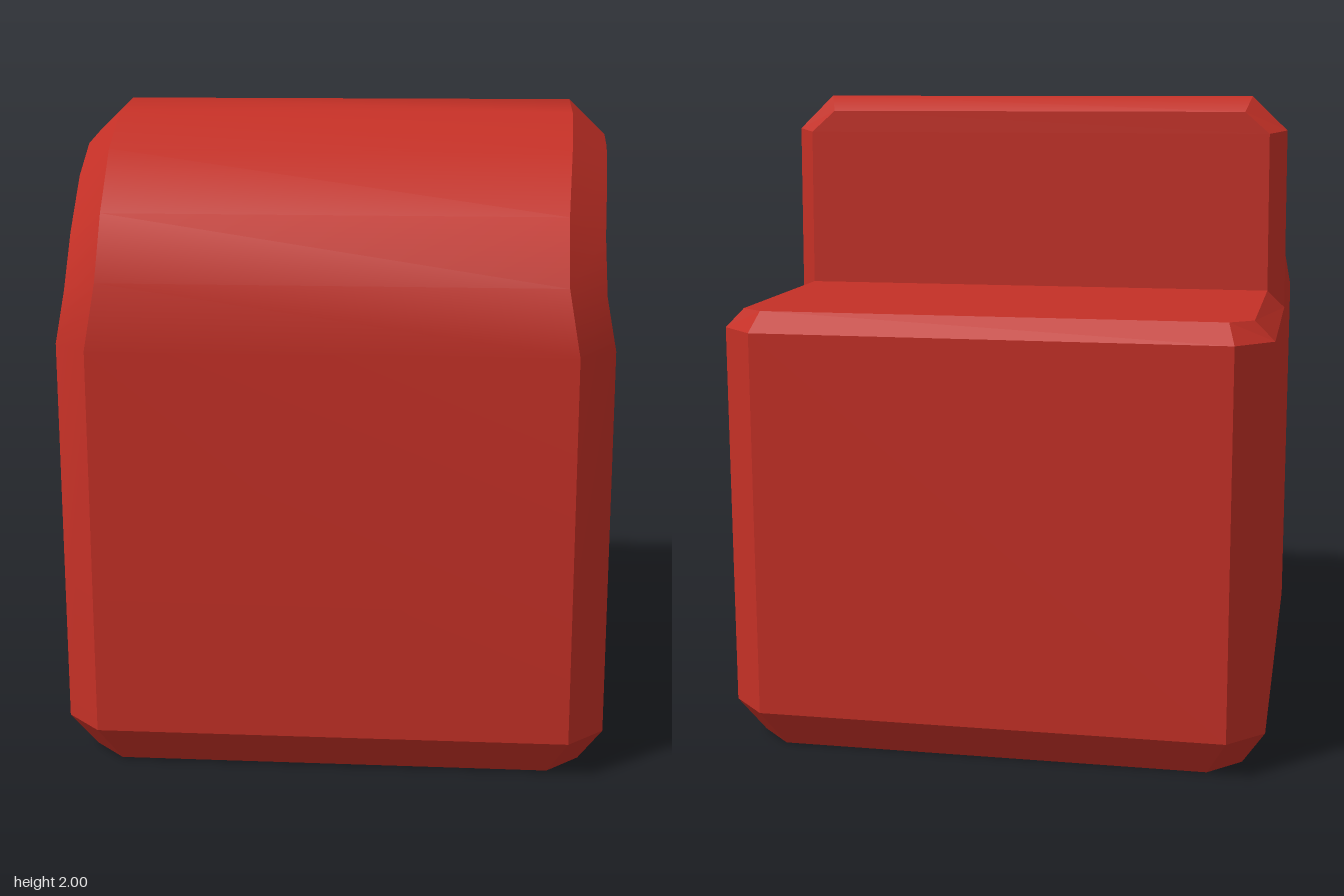
import * as THREE from 'three';
import { toCreasedNormals } from 'three/addons/utils/BufferGeometryUtils.js';

// Paired profile points, from front bottom over the top to back bottom.
// First: edge of the wide central strip; second: edge of the side face. [x, y, z]
const PROFILE = [
  [[0.66, 0, 0.76], [0.76, 0, 0.66]],
  [[0.72, 0.12, 0.83], [0.83, 0.12, 0.72]],
  [[0.72, 1.31, 0.83], [0.83, 1.31, 0.72]],
  [[0.685, 1.51, 0.82], [0.80, 1.47, 0.715]],
  [[0.685, 1.70, 0.71], [0.797, 1.63, 0.62]],
  [[0.70, 1.87, 0.49], [0.81, 1.78, 0.42]],
  [[0.71, 1.97, 0.26], [0.82, 1.865, 0.23]],
  [[0.71, 2.0, 0.05], [0.825, 1.89, 0.05]],
  [[0.69, 1.95, 0], [0.825, 1.89, 0.05]],
  [[0.77, 1.88, 0], [0.825, 1.89, 0.05]],
  [[0.775, 1.37, 0], [0.83, 1.31, 0.05]],
  [[0.77, 1.37, -0.72], [0.83, 1.31, -0.72]],
  [[0.70, 1.37, -0.775], [0.83, 1.31, -0.72]],
  [[0.72, 1.31, -0.83], [0.83, 1.31, -0.72]],
  [[0.72, 0.12, -0.83], [0.83, 0.12, -0.72]],
  [[0.66, 0, -0.76], [0.76, 0, -0.66]],
];
const N = PROFILE.length;
const CREST = 7; // top of the rounded front
const LIP = 8; // top edge of the step wall
const CORNER = 10; // inner corner of the step

const core = (i) => PROFILE[i % N][0];
const side = (i) => PROFILE[i % N][1];
const flip = ([x, y, z]) => [-x, y, z];

// Polygons become fans of triangles, skipping collapsed ones
function surface(polygons, creaseAngle) {
  const positions = [];
  const same = (a, b) => a.every((v, k) => v === b[k]);
  for (const p of polygons) {
    for (let i = 1; i < p.length - 1; i++) {
      const [a, b, c] = [p[0], p[i], p[i + 1]];
      if (!same(a, b) && !same(b, c) && !same(a, c)) positions.push(...a, ...b, ...c);
    }
  }
  const geometry = new THREE.BufferGeometry();
  geometry.setAttribute('position', new THREE.Float32BufferAttribute(positions, 3));
  geometry.computeVertexNormals();
  return creaseAngle ? toCreasedNormals(geometry, creaseAngle) : geometry;
}

const withMirror = (polygons) => [
  ...polygons,
  ...polygons.map((p) => p.map(flip).reverse()),
];

export function createModel() {
  const group = new THREE.Group();
  group.name = 'steppedBlock';
  const red = new THREE.MeshStandardMaterial({ color: 0xc43026 });
  red.name = 'red';
  const add = (name, polygons, crease) => {
    const mesh = new THREE.Mesh(surface(polygons, crease), red);
    mesh.name = name;
    group.add(mesh);
  };

  // Strips across the width, and the bevels joining them to the sides
  const roundedFront = [], flatPanels = [], roundedBevels = [], flatBevels = [];
  for (let i = 0; i < N; i++) {
    const strip = [core(i), core(i + 1), flip(core(i + 1)), flip(core(i))];
    (i >= 1 && i < LIP ? roundedFront : flatPanels).push(strip);
    const bevel = [core(i), side(i), side(i + 1), core(i + 1)];
    (i >= 1 && i < CREST ? roundedBevels : flatBevels).push(bevel);
  }
  add('roundedFront', roundedFront, 1.2);
  add('flatPanels', flatPanels);
  add('roundedBevels', withMirror(roundedBevels), 0.65);
  add('flatBevels', withMirror(flatBevels));

  // Sides, fanned out from the inner corner of the step
  const faces = [];
  for (let i = 1; i < N - 2; i++) faces.push([side(CORNER), side(i + 1), side(i)]);
  faces.push([side(CORNER), side(1), side(N - 2)]);
  add('sides', withMirror(faces), 0.4);

  // Sloped lower edges of the sides
  add('lowerSideBevels', withMirror([[side(0), side(N - 1), side(N - 2), side(1)]]));

  return group;
}
